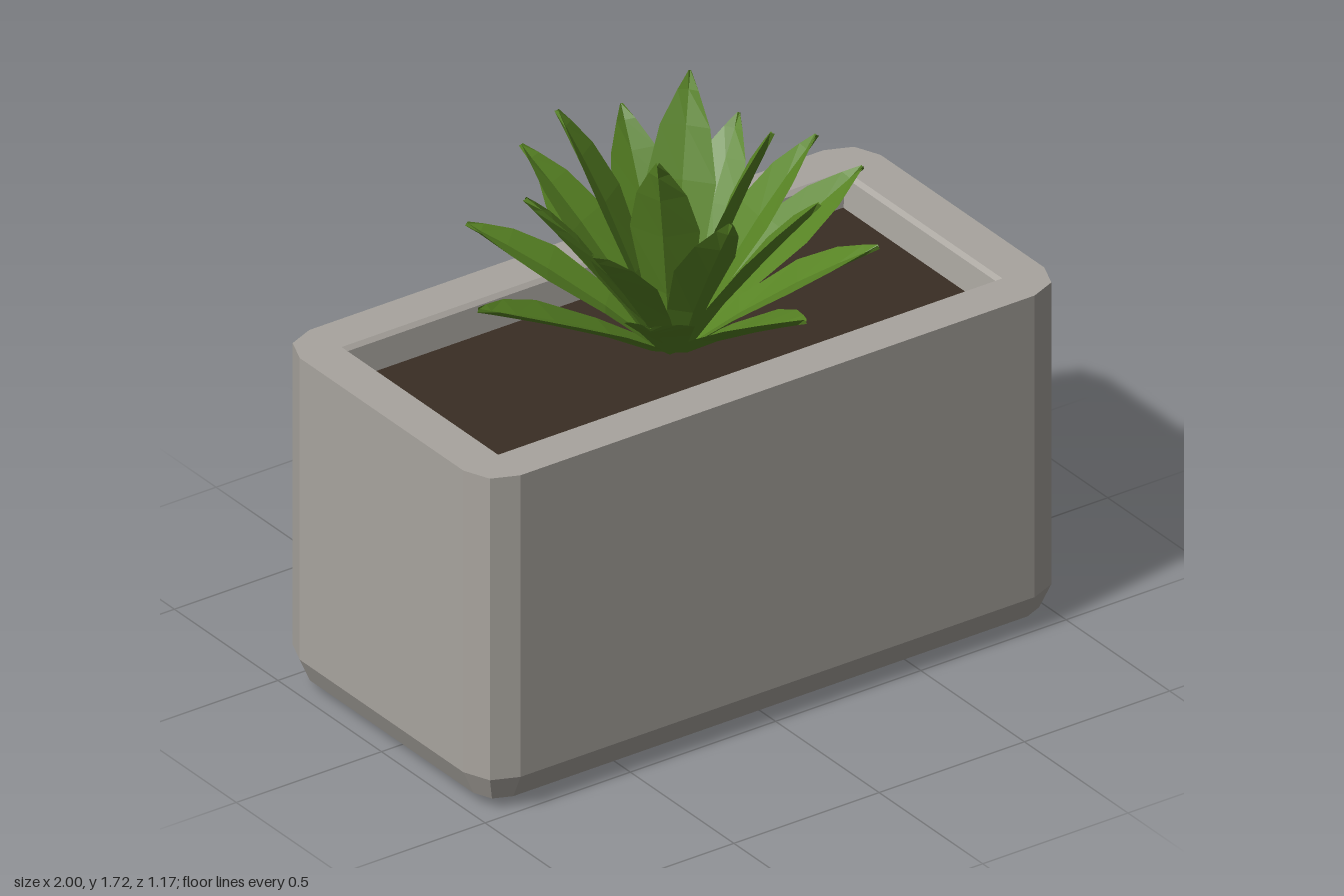
import * as THREE from 'three';

// Skin a stack of equal-length rings of Vector3 with faceted quads
function loft(rings, capStart) {
  const pos = [];
  const tri = (a, b, c) => [a, b, c].forEach((p) => pos.push(p.x, p.y, p.z));
  for (let r = 0; r < rings.length - 1; r++) {
    const lo = rings[r], up = rings[r + 1], n = lo.length;
    for (let i = 0; i < n; i++) {
      const j = (i + 1) % n;
      tri(lo[i], up[i], up[j]);
      tri(lo[i], up[j], lo[j]);
    }
  }
  if (capStart) {
    const c = rings[0];
    for (let i = 1; i < c.length - 1; i++) tri(c[0], c[i], c[i + 1]);
  }
  const g = new THREE.BufferGeometry();
  g.setAttribute('position', new THREE.Float32BufferAttribute(pos, 3));
  g.computeVertexNormals();
  return g;
}

// Rectangle with two-facet corners: core half sizes plus corner radius
function potRing(hx, hz, r, y) {
  const ring = [];
  [[1, 1], [-1, 1], [-1, -1], [1, -1]].forEach(([sx, sz], q) => {
    for (let k = 0; k < 3; k++) {
      const a = (q + k / 2) * Math.PI / 2;
      ring.push(new THREE.Vector3(sx * hx + r * Math.cos(a), y, sz * hz + r * Math.sin(a)));
    }
  });
  return ring;
}

// Cupped, pointed leaf from the plant's heart to a tip position
const LEAF_ROWS = [[0, 0.4], [0.3, 0.72], [0.6, 1], [0.8, 0.72], [0.93, 0.3], [1, 0.04]];

function leafGeometry(x, y, z, halfWidth, arch) {
  const az = Math.atan2(z, x);
  const base = new THREE.Vector3(0.03 * Math.cos(az), 0.98, 0.03 * Math.sin(az));
  const tip = new THREE.Vector3(x, y, z);
  const dir = tip.clone().sub(base).normalize();
  const side = new THREE.Vector3(-Math.sin(az), 0, Math.cos(az));
  const up = new THREE.Vector3().crossVectors(side, dir);
  const rings = LEAF_ROWS.map(([t, w]) => {
    const mid = base.clone().lerp(tip, t).addScaledVector(up, arch * 4 * t * (1 - t));
    const at = (s, n) => mid.clone().addScaledVector(side, s).addScaledVector(up, n);
    const h = halfWidth * w;
    return [at(h, 0.014 * w), at(0, -0.006), at(-h, 0.014 * w), at(0, -0.006 - 0.016 * (0.4 + w * 0.6))];
  });
  return loft(rings, true);
}

export function createModel() {
  const model = new THREE.Group();
  model.name = 'pottedSucculent';
  const concrete = new THREE.MeshStandardMaterial({ color: 0xa8a49e, flatShading: true });
  const soilBrown = new THREE.MeshStandardMaterial({ color: 0x3a2e24 });
  const leafGreen = new THREE.MeshStandardMaterial({ color: 0x588424, flatShading: true });
  concrete.name = 'concrete';
  soilBrown.name = 'soilBrown';
  leafGreen.name = 'leafGreen';

  // Pot: bevelled foot, straight walls, flat rim, recessed opening
  const pot = new THREE.Mesh(loft([
    potRing(0.885, 0.395, 0, 0),
    potRing(0.885, 0.395, 0.08, 0.037),
    potRing(0.885, 0.395, 0.115, 0.115),
    potRing(0.885, 0.395, 0.115, 1.085),
    potRing(0.868, 0.378, 0, 1.085),
    potRing(0.856, 0.366, 0, 1.073),
    potRing(0.84, 0.352, 0, 0.95),
  ], true), concrete);
  pot.name = 'pot';
  model.add(pot);

  // Soil
  const soil = new THREE.Mesh(new THREE.BoxGeometry(1.685, 0.04, 0.71), soilBrown);
  soil.name = 'soil';
  soil.position.y = 0.965;
  model.add(soil);

  // Leaves in three whorls: tip positions, half width, arch
  const whorls = [
    ['outerLeaf', 0.1, 0.02, [
      [0.67, 1.33, -0.02], [0.43, 1.34, 0.39], [0.05, 1.31, 0.575], [-0.38, 1.36, 0.43],
      [-0.68, 1.33, 0.02], [-0.43, 1.34, -0.385], [-0.05, 1.3, -0.58], [0.37, 1.36, -0.425]]],
    ['middleLeaf', 0.095, 0.02, [
      [0.43, 1.56, 0.09], [0.24, 1.53, 0.37], [-0.07, 1.57, 0.38], [-0.41, 1.5, 0.2],
      [-0.43, 1.55, -0.1], [-0.21, 1.5, -0.43], [0.09, 1.56, -0.37], [0.38, 1.51, -0.21]]],
    ['innerLeaf', 0.1, 0.025, [
      [0.19, 1.7, 0.21], [-0.17, 1.7, 0.17], [-0.22, 1.7, -0.24], [0.19, 1.72, -0.18]]],
  ];
  const plant = new THREE.Group();
  plant.name = 'plant';
  for (const [name, width, arch, tips] of whorls) {
    for (const [x, y, z] of tips) {
      const leaf = new THREE.Mesh(leafGeometry(x, y, z, width, arch), leafGreen);
      leaf.name = name;
      plant.add(leaf);
    }
  }
  model.add(plant);
  return model;
}
